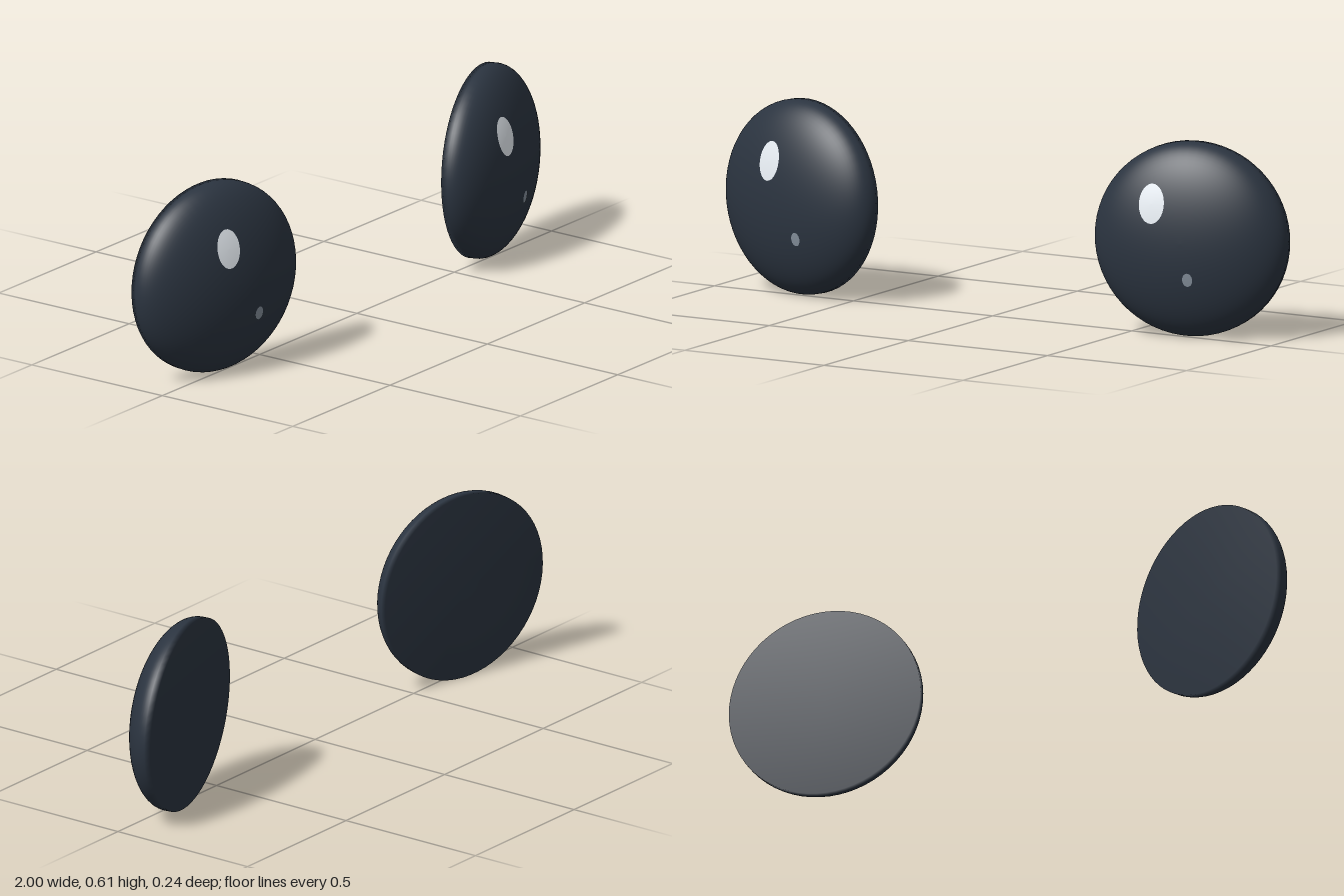
import * as THREE from 'three';

// Eye lens: half width, half height, rim thickness, dome depth
const A = 0.31, B = 0.3025, RIM = 0.02, DOME = 0.126;

const bodyMaterial = new THREE.MeshStandardMaterial({ color: 0x2b3440 });
const glintMaterial = new THREE.MeshStandardMaterial({ color: 0xe8eef4 });
const softGlintMaterial = new THREE.MeshStandardMaterial({ color: 0x87929e });

// Flat back, narrow rim, then an elliptical dome; axis turned to +z
function lensGeometry() {
  const profile = [new THREE.Vector2(0, 0), new THREE.Vector2(A, 0)];
  const steps = 24;
  for (let i = 0; i <= steps; i++) {
    const t = (i / steps) * Math.PI / 2;
    profile.push(new THREE.Vector2(i === steps ? 0 : A * Math.cos(t), RIM + DOME * Math.sin(t)));
  }
  return new THREE.LatheGeometry(profile, 64).rotateX(Math.PI / 2).scale(1, B / A, 1);
}

// Oval patch laid just above the dome surface
function glintGeometry(u, v, ru, rv) {
  const geometry = new THREE.RingGeometry(0, 1, 32, 4).scale(ru, rv, 1).translate(u, v, 0);
  const p = geometry.attributes.position;
  for (let i = 0; i < p.count; i++) {
    const r2 = (p.getX(i) / A) ** 2 + (p.getY(i) / B) ** 2;
    p.setZ(i, RIM + DOME * Math.sqrt(1 - r2) + 0.0015);
  }
  geometry.computeVertexNormals();
  return geometry;
}

function addMesh(parent, name, geometry, material) {
  const mesh = new THREE.Mesh(geometry, material);
  mesh.name = name;
  parent.add(mesh);
}

export function createModel() {
  const model = new THREE.Group();
  model.name = 'eyes';
  for (const side of [1, -1]) {
    const eye = new THREE.Group();
    eye.name = side > 0 ? 'leftEye' : 'rightEye';
    // Turned outward and very slightly upward
    eye.position.set(side * 0.695, 0.3025, -0.046);
    eye.rotation.set(-0.03, side * 0.245, 0, 'YXZ');

    addMesh(eye, 'lens', lensGeometry(), bodyMaterial);
    // Both glints sit on the same side of each eye, so they are not mirrored
    addMesh(eye, 'largeGlint', glintGeometry(-0.065 - side * 0.033, 0.118, 0.042, 0.061), glintMaterial);
    addMesh(eye, 'smallGlint', glintGeometry(0.054 - side * 0.032, -0.112, 0.016, 0.021), softGlintMaterial);
    model.add(eye);
  }
  return model;
}
